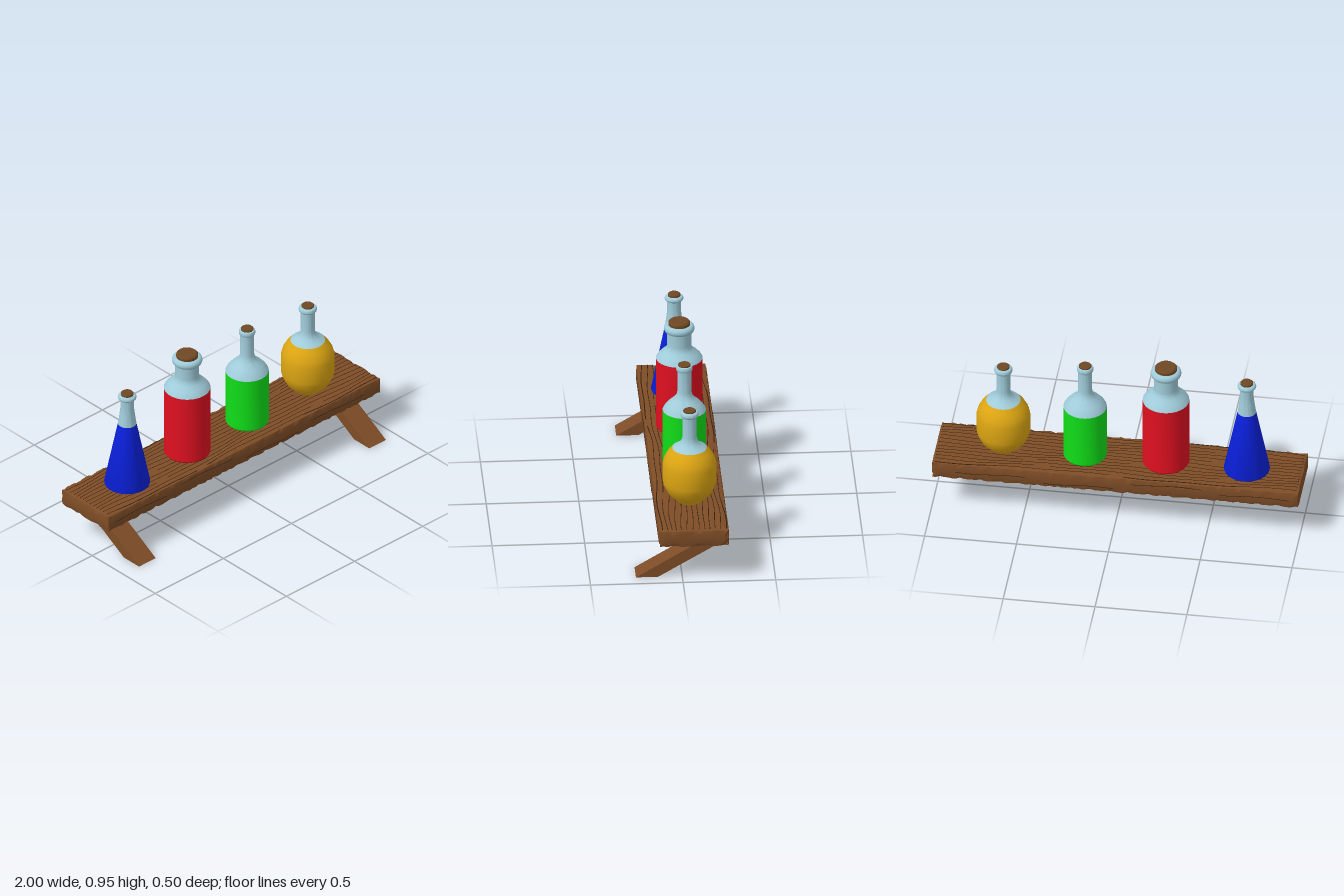
import * as THREE from 'three';
import { toCreasedNormals } from 'three/addons/utils/BufferGeometryUtils.js';

const mat = (color) => new THREE.MeshStandardMaterial({ color });
const WOOD = mat(0x7d4c26), GRAIN = mat(0x3a2211), CORK = mat(0x6e4824), GLASS = mat(0x9fcbd9);
const TOP = 0.31, BOTTLE_Z = -0.0575;

function add(parent, name, geometry, material) {
  const mesh = new THREE.Mesh(geometry, material);
  mesh.name = name;
  parent.add(mesh);
  return mesh;
}

// Lathe from [radius, height] pairs, smooth except at sharp corners
function turned(points) {
  const g = new THREE.LatheGeometry(points.map(([r, y]) => new THREE.Vector2(r, y)), 40);
  return toCreasedNormals(g, 0.6);
}

// Bottle: coloured liquid body, glass top with rolled lip, chamfered cork
function bottle(name, x, color, liquid, glass, lip, cork) {
  const group = new THREE.Group();
  group.name = name;
  group.position.set(x, 0, BOTTLE_Z);
  const [fillR, fillY] = liquid[liquid.length - 1];
  add(group, 'liquid', turned([[0, TOP], ...liquid, [0, fillY]]), mat(color));
  const [neckR, neckY] = glass[glass.length - 1];
  const [lipR, lipTop] = lip;
  const h = lipTop - neckY, rim = [];
  for (let i = 0; i <= 6; i++) {
    const a = -Math.PI / 2 + (i / 6) * Math.PI;
    rim.push([neckR + (lipR - neckR) * Math.cos(a), neckY + h * (0.5 + 0.5 * Math.sin(a))]);
  }
  add(group, 'glass', turned([[fillR, fillY], ...glass, ...rim.slice(1), [0, lipTop]]), GLASS);
  const [r, top] = cork, c = (top - lipTop) * 0.35;
  add(group, 'cork', turned([[r, lipTop - 0.005], [r, top - c], [r - c, top], [0, top]]), CORK);
  return group;
}

// Plank with slightly worn edges
function plankGeometry() {
  const g = new THREE.BoxGeometry(2, 0.1, 0.38, 90, 4, 16);
  const p = g.attributes.position, half = [1, 0.05, 0.19];
  for (let i = 0; i < p.count; i++) {
    const v = [p.getX(i), p.getY(i), p.getZ(i)];
    const outer = v.map((c, k) => Math.abs(Math.abs(c) - half[k]) < 1e-4);
    if (outer.filter(Boolean).length < 2) continue;
    const n = Math.sin(v[0] * 31 + v[2] * 47 + v[1] * 60) * Math.sin(v[0] * 83 + v[2] * 19 + 1);
    const pull = 0.003 + 0.006 * Math.abs(n);
    p.setXYZ(i, ...v.map((c, k) => (outer[k] ? c - Math.sign(c) * pull : c)));
  }
  g.translate(0, 0.26, -0.06);
  return toCreasedNormals(g, 0.5);
}

// Thin dark grain line following a point function along x
function grainLine(parent, x0, x1, at) {
  const pts = [];
  for (let i = 0; i <= 24; i++) pts.push(at(x0 + ((x1 - x0) * i) / 24));
  add(parent, 'grainLine', new THREE.TubeGeometry(new THREE.CatmullRomCurve3(pts), 60, 0.0028, 4), GRAIN);
}

// Slanted leg with level ends
function legGeometry(xRight) {
  const s = new THREE.Shape();
  s.moveTo(0.25, 0);
  s.lineTo(0.13, 0);
  s.lineTo(-0.235, 0.214);
  s.lineTo(-0.11, 0.214);
  s.closePath();
  const g = new THREE.ExtrudeGeometry(s, { depth: 0.122, bevelEnabled: false });
  g.rotateY(-Math.PI / 2);
  g.translate(xRight, 0, 0);
  return g;
}

export function createModel() {
  const model = new THREE.Group();
  model.name = 'bottleShelf';

  add(model, 'plank', plankGeometry(), WOOD);
  add(model, 'rightLeg', legGeometry(-0.765), WOOD);
  add(model, 'leftLeg', legGeometry(0.924), WOOD);

  // Wavy grain on the top, with staggered breaks
  const grain = new THREE.Group();
  grain.name = 'grain';
  model.add(grain);
  for (let i = 0; i < 13; i++) {
    const z = -0.228 + i * 0.028;
    const wave = (x) => new THREE.Vector3(x, TOP - 0.001,
      z + 0.009 * Math.sin(x * 5 + i * 0.35) + 0.004 * Math.sin(x * 13 + i));
    const gap = 0.6 * Math.sin(i * 2.4);
    grainLine(grain, -0.985, gap - 0.04, wave);
    grainLine(grain, gap + 0.04, 0.985, wave);
  }
  // Sparse grain on the long sides
  for (const z of [0.129, -0.249]) {
    for (let i = 0; i < 4; i++) {
      const x0 = -0.95 + i * 0.48;
      grainLine(grain, x0, x0 + 0.38, (x) =>
        new THREE.Vector3(x, 0.26 + 0.025 * Math.sin(i * 2.1) + 0.005 * Math.sin(x * 14), z));
    }
  }

  model.add(bottle('blueConicalBottle', -0.69, 0x0a20dc,
    [[0.122, TOP], [0.124, 0.318], [0.05, 0.69]],
    [[0.041, 0.755], [0.037, 0.79], [0.037, 0.848]], [0.051, 0.876], [0.034, 0.89]));

  model.add(bottle('redWideBottle', -0.25, 0xe01020,
    [[0.118, TOP], [0.126, 0.32], [0.126, 0.725]],
    [[0.118, 0.738], [0.1, 0.757], [0.078, 0.776], [0.067, 0.792], [0.065, 0.81], [0.065, 0.882]],
    [0.083, 0.925], [0.059, 0.947]));

  model.add(bottle('greenBottle', 0.19, 0x10de18,
    [[0.11, TOP], [0.117, 0.32], [0.117, 0.635]],
    [[0.108, 0.652], [0.086, 0.677], [0.058, 0.702], [0.043, 0.722], [0.038, 0.745], [0.038, 0.868]],
    [0.045, 0.899], [0.034, 0.909]));

  model.add(bottle('goldRoundBottle', 0.635, 0xdca512,
    [[0.063, TOP], [0.118, 0.365], [0.139, 0.41], [0.145, 0.435], [0.145, 0.535], [0.137, 0.567],
      [0.118, 0.602], [0.093, 0.63]],
    [[0.07, 0.645], [0.051, 0.66], [0.041, 0.68], [0.038, 0.7], [0.038, 0.815]],
    [0.05, 0.847], [0.034, 0.857]));

  return model;
}
